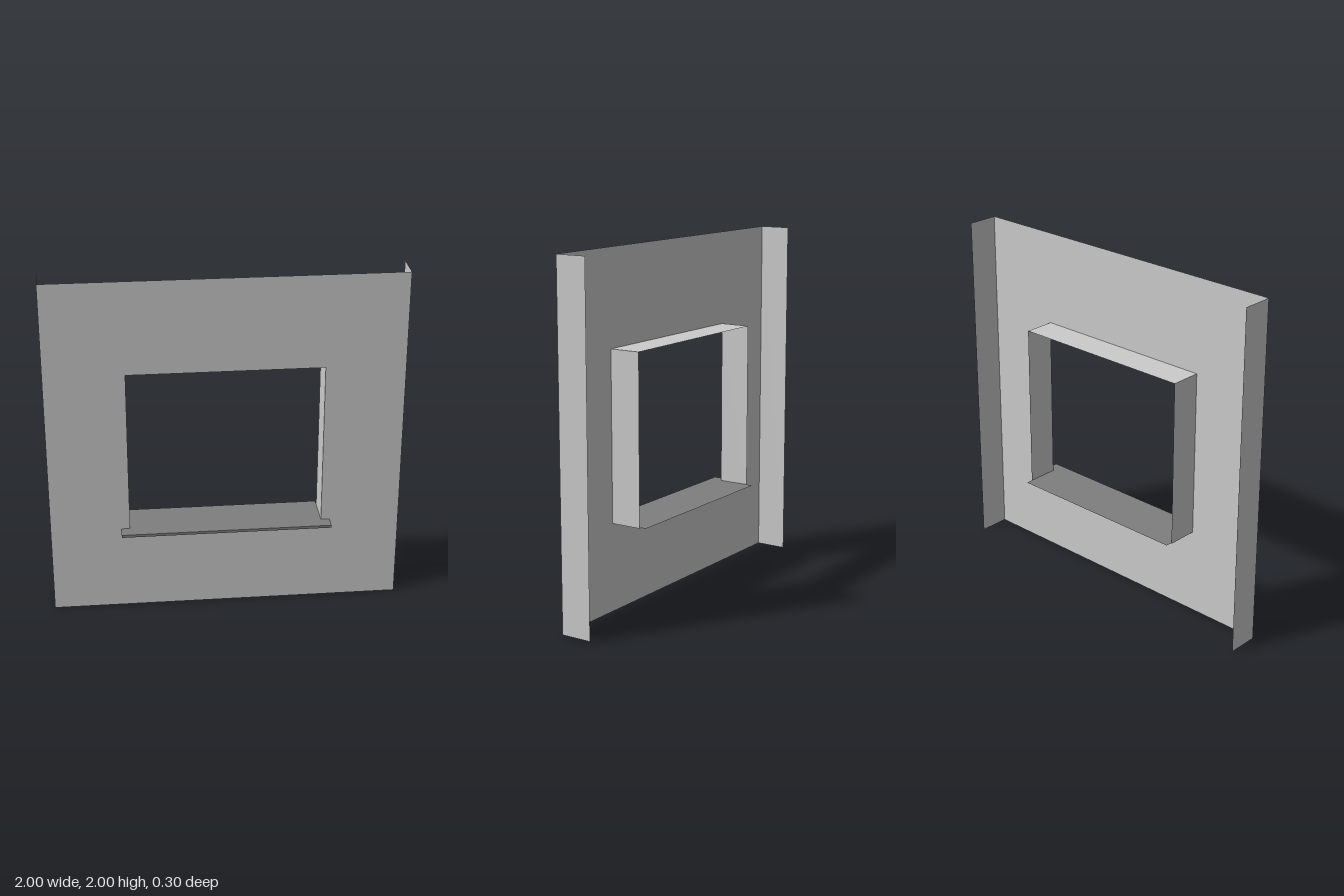
import * as THREE from 'three';

const FRONT = 0.07, BACK = -0.11;           // depth of the folded sheet
const HALF = 0.55, BOTTOM = 0.5, TOP = 1.46; // window opening

export function createModel() {
  const group = new THREE.Group();
  const wallMat = new THREE.MeshStandardMaterial({ color: 0xcccccc, side: THREE.DoubleSide });
  const sillMat = new THREE.MeshStandardMaterial({ color: 0x7f7f7f, side: THREE.DoubleSide });

  const add = (name, geometry, material) => {
    const mesh = new THREE.Mesh(geometry, material);
    mesh.name = name;
    group.add(mesh);
    return mesh;
  };
  // Upright sheet running front to back at a given x
  const sideSheet = (name, x, y0, y1) => {
    const mesh = add(name, new THREE.PlaneGeometry(FRONT - BACK, y1 - y0), wallMat);
    mesh.rotation.y = Math.sign(x) * Math.PI / 2;
    mesh.position.set(x, (y0 + y1) / 2, (FRONT + BACK) / 2);
  };
  // Level sheet facing up
  const flatSheet = (name, halfWidth, y, z0, z1, material) => {
    const mesh = add(name, new THREE.PlaneGeometry(halfWidth * 2, z1 - z0), material);
    mesh.rotation.x = -Math.PI / 2;
    mesh.position.set(0, y, (z0 + z1) / 2);
  };

  // Wall face with the window opening
  const face = new THREE.Shape([
    new THREE.Vector2(-1, 0), new THREE.Vector2(1, 0),
    new THREE.Vector2(1, 2), new THREE.Vector2(-1, 2),
  ]);
  face.holes.push(new THREE.Path([
    new THREE.Vector2(-HALF, BOTTOM), new THREE.Vector2(-HALF, TOP),
    new THREE.Vector2(HALF, TOP), new THREE.Vector2(HALF, BOTTOM),
  ]));
  add('wallFace', new THREE.ShapeGeometry(face), wallMat).position.z = FRONT;

  // Outer returns and opening reveals
  for (const [side, s] of [['left', 1], ['right', -1]]) {
    sideSheet(side + 'Return', s, 0, 2);
    sideSheet(side + 'Reveal', s * HALF, BOTTOM, TOP);
  }
  flatSheet('topReveal', HALF, TOP, BACK, FRONT, wallMat);
  flatSheet('bottomReveal', HALF, BOTTOM, BACK, FRONT, wallMat);

  // Sill: inner board, wider outer ledge and its turned-down lip
  const sillY = 0.506, sillFront = 0.145;
  flatSheet('innerSill', HALF, sillY, -0.15, FRONT, sillMat);
  flatSheet('outerSill', 0.6, sillY, FRONT, sillFront, sillMat);
  add('sillLip', new THREE.PlaneGeometry(1.2, sillY - 0.49), sillMat)
    .position.set(0, (sillY + 0.49) / 2, sillFront);

  return group;
}
